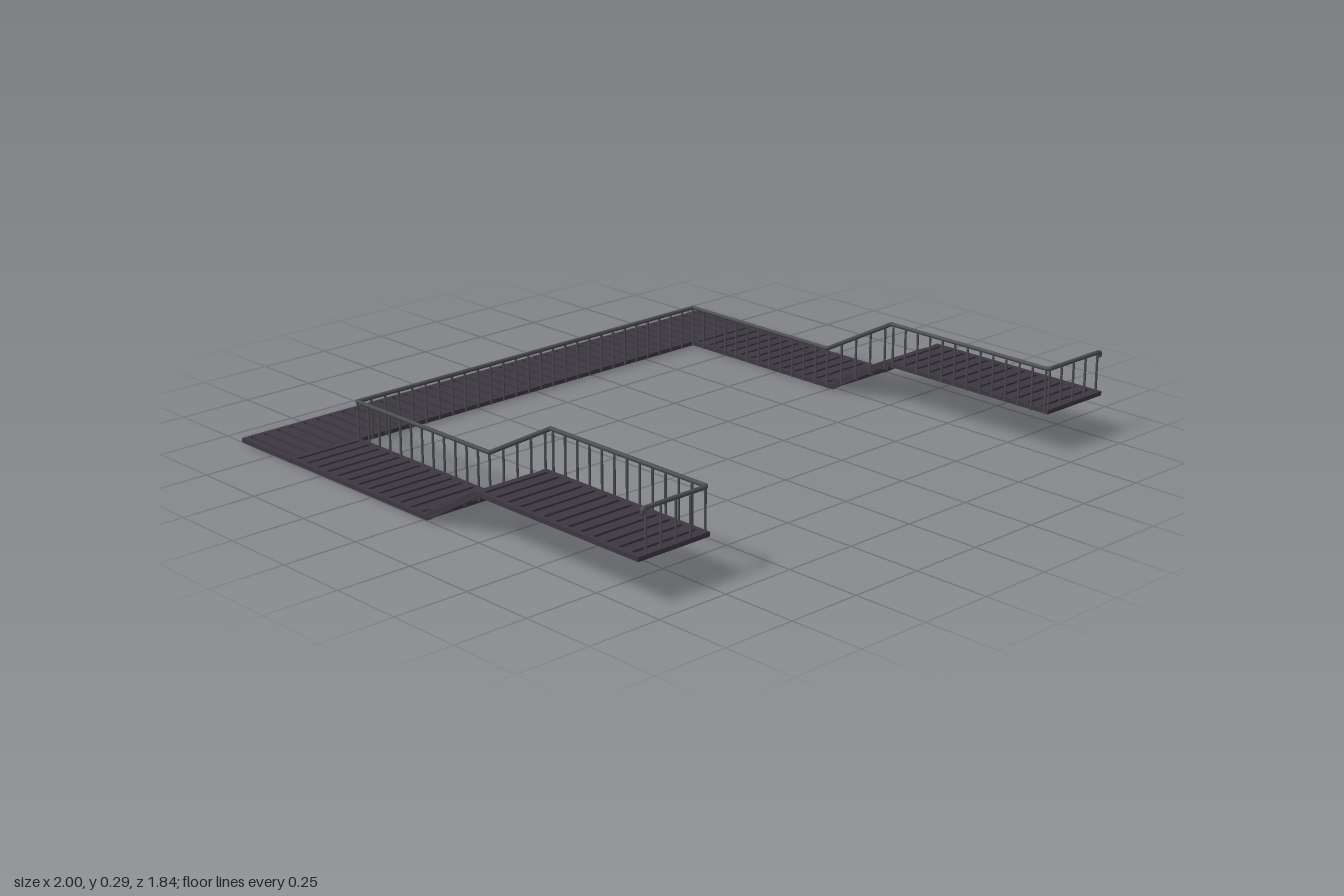
import * as THREE from 'three';

const plank = new THREE.MeshStandardMaterial({ color: 0x3d3641 });
plank.name = 'dark plank';
const metal = new THREE.MeshStandardMaterial({ color: 0x484a4b });
metal.name = 'grey metal';

const T = 0.014;       // deck thickness
const UP = 0.14;       // underside of the upper decks
const RAIL = 0.138;    // rail height above the deck underside
const EDGE = 0.66;     // inner edge of the back walkway (at -z)
const FRONT = 0.918;
const PITCH = 0.0513;  // plank spacing
const V = (x, y, z) => new THREE.Vector3(x, y, z);

function box(parent, name, x0, x1, y0, y1, z0, z1) {
  const m = new THREE.Mesh(new THREE.BoxGeometry(x1 - x0, y1 - y0, z1 - z0), plank);
  m.position.set((x0 + x1) / 2, (y0 + y1) / 2, (z0 + z1) / 2);
  m.name = name;
  parent.add(m);
}

// Round bar between two points
function bar(parent, name, a, b, r, sides = 8) {
  const d = b.clone().sub(a);
  const m = new THREE.Mesh(new THREE.CylinderGeometry(r, r, d.length(), sides), metal);
  m.position.copy(a).add(b).multiplyScalar(0.5);
  m.quaternion.setFromUnitVectors(V(0, 1, 0), d.normalize());
  m.name = name;
  parent.add(m);
}

// Handrail through points, with rounded joints
function handrail(parent, pts, r = 0.007) {
  pts.forEach((p, i) => {
    if (i) bar(parent, 'handrail', pts[i - 1], p, r);
    const j = new THREE.Mesh(new THREE.SphereGeometry(r, 8, 6), metal);
    j.position.copy(p);
    j.name = 'handrailJoint';
    parent.add(j);
  });
}

// Evenly spaced balusters between two points on the deck
function balusters(parent, a, b, n, h = RAIL) {
  for (let i = 0; i <= n; i++) {
    const p = a.clone().lerp(b, i / n);
    bar(parent, 'baluster', p, p.clone().add(V(0, h, 0)), 0.0038, 8);
  }
}

// Slatted deck: border beams, then gaps and planks repeated along x or z
function deck(name, x0, x1, z0, z1, y, firstGap, gaps, alongX) {
  const g = new THREE.Group();
  g.name = name;
  const w = 0.015, half = 0.006;
  const [s0, s1, c0, c1] = alongX ? [x0, x1, z0, z1] : [z0, z1, x0, x1];
  const slab = (part, a, b, c, d) => (alongX
    ? box(g, part, a, b, y, y + T, c, d)
    : box(g, part, c, d, y, y + T, a, b));
  const lastGap = firstGap + (gaps - 1) * PITCH;
  slab('sideBeam', s0, s1, c0, c0 + w);
  slab('sideBeam', s0, s1, c1 - w, c1);
  slab('endBeam', s0, firstGap - half, c0 + w, c1 - w);
  slab('endBeam', lastGap + half, s1, c0 + w, c1 - w);
  for (let i = 0; i < gaps - 1; i++) {
    const a = firstGap + i * PITCH;
    slab('plank', a + half, a + PITCH - half, c0 + w, c1 - w);
  }
  return g;
}

// Sloping side beam of the stairs
function stringer(parent, x) {
  const s = new THREE.Shape([[-0.01, 0], [0.012, 0], [0.25, UP], [0.25, UP + T], [0.235, UP + T], [0, T], [-0.01, T]]
    .map(([z, y]) => new THREE.Vector2(-z, y)));
  const geo = new THREE.ExtrudeGeometry(s, { depth: 0.012, bevelEnabled: false });
  geo.rotateY(Math.PI / 2);
  const m = new THREE.Mesh(geo, plank);
  m.position.x = x - 0.006;
  m.name = 'stairStringer';
  parent.add(m);
}

// One wing: lower deck, stairs, upper deck and its railing
function wing(side) {
  const g = new THREE.Group();
  g.name = side > 0 ? 'leftWing' : 'rightWing';
  const inner = 0.731, outer = 0.999;
  const x0 = side > 0 ? inner : -outer, x1 = side > 0 ? outer : -inner;
  g.add(deck('lowerDeck', x0, x1, -EDGE, 0.002, 0, -0.642, 13, false));
  g.add(deck('upperDeck', x0, x1, 0.24, FRONT, UP, 0.265, 13, false));

  const stairs = new THREE.Group();
  stairs.name = 'stairs';
  stringer(stairs, x0 + 0.006);
  stringer(stairs, x1 - 0.006);
  for (let i = 0; i < 4; i++) {
    const z = i * 0.0645, y = 0.022 + i * 0.0327;
    box(stairs, 'tread', x0 + 0.012, x1 - 0.012, y, y + 0.012, z - 0.002, z + 0.051);
  }
  g.add(stairs);

  const railing = new THREE.Group();
  railing.name = 'railing';
  const r = side > 0 ? 0.731 : -0.736, e = side > 0 ? 0.988 : -0.978;
  const zf = FRONT - 0.006, top = UP + RAIL + 0.008, bend = 0.008;
  handrail(railing, [V(r, RAIL, -EDGE), V(r, RAIL, -0.015), V(r, top, 0.265),
    V(r, top, zf - bend), V(r + side * bend, top, zf),
    V(e - side * 0.005, top, zf), V(e, top - 0.004, zf), V(e, top - 0.012, zf)]);
  balusters(railing, V(r, 0, -EDGE), V(r, 0, -0.015), 12);
  balusters(railing, V(r, 0.03, 0.05), V(r, 0.126, 0.24), 3);
  balusters(railing, V(r, UP, 0.275), V(r, UP, zf - bend), 12);
  balusters(railing, V(r + side * bend, UP, zf), V(e - side * 0.012, UP, zf), 4);
  g.add(railing);
  return g;
}

export function createModel() {
  const model = new THREE.Group();
  model.name = 'steppedWalkway';
  model.add(deck('backWalkway', -1, 1, -0.92, -EDGE, 0, -19 * PITCH, 39, true));
  model.add(wing(1), wing(-1));

  // Railing along the inner edge of the back walkway
  const back = new THREE.Group();
  back.name = 'backRailing';
  handrail(back, [V(-0.736, RAIL, -EDGE), V(0.731, RAIL, -EDGE)]);
  balusters(back, V(-0.736, 0, -EDGE), V(0.731, 0, -EDGE), 27);
  model.add(back);
  return model;
}
